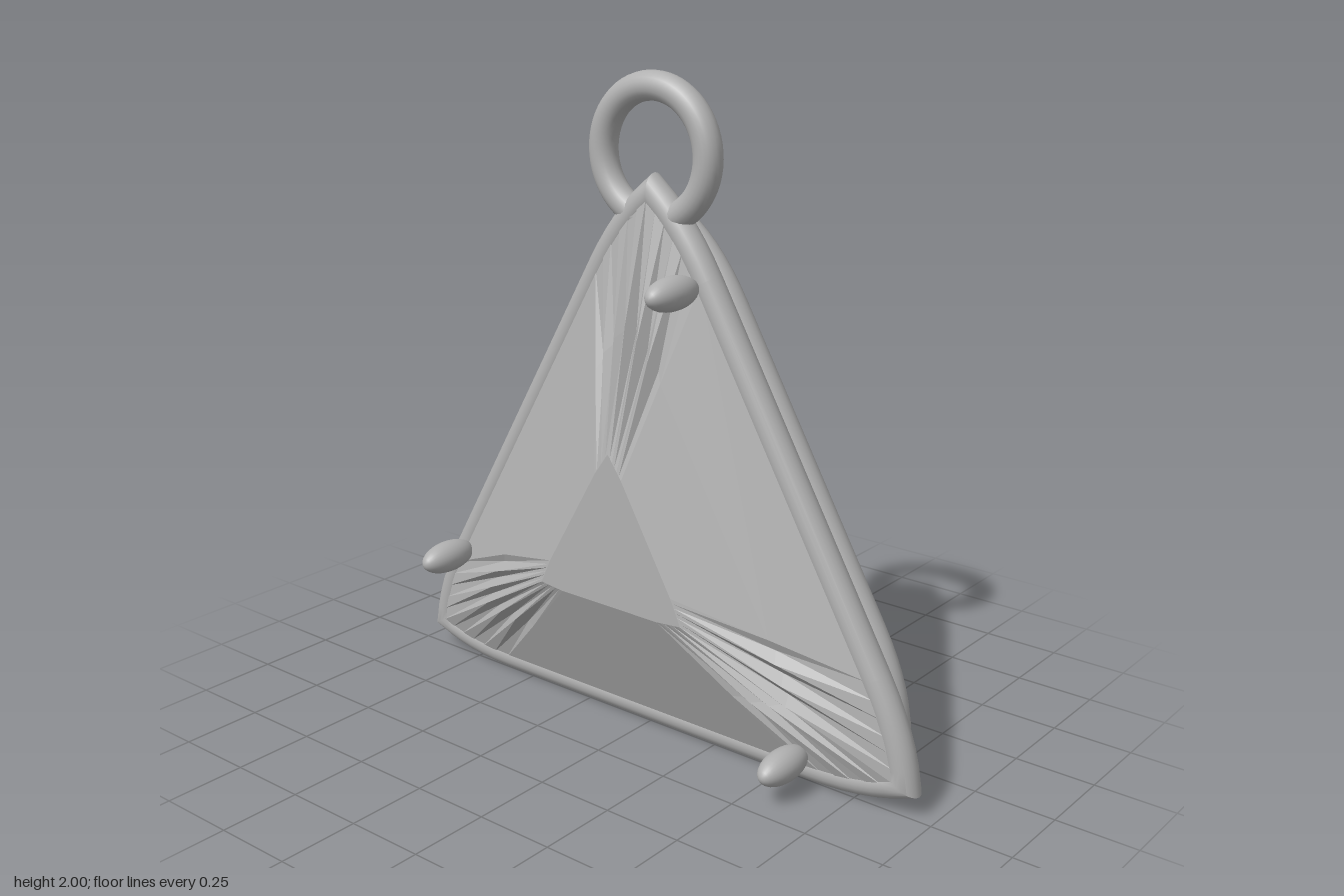
import * as THREE from 'three';
import { toCreasedNormals } from 'three/addons/utils/BufferGeometryUtils.js';

const STEPS = 6; // samples on each half of a corner
const CENTRE_Y = 0.615;
const V2 = (x, y) => new THREE.Vector2(x, y);

// Repeats points of the top corner at all three corners, counterclockwise
function threefold(points) {
  const out = [];
  for (let k = 0; k < 3; k++) {
    for (const p of points) out.push(p.clone().rotateAround(V2(0, 0), (k * 2 * Math.PI) / 3));
  }
  return out;
}

// Triangle with gently bowed sides near each pointed corner
function cornerPoints() {
  const right = new THREE.QuadraticBezierCurve(V2(0.194, 0.805), V2(0.104, 0.96), V2(0, 1.04)).getPoints(STEPS);
  const left = right.slice(0, -1).reverse().map((p) => V2(-p.x, p.y));
  return [...right, ...left];
}

// Skins a closed loop of cross-sections, each a list of [x, y, z]
function loft(sections) {
  const n = sections.length, m = sections[0].length, index = [];
  for (let i = 0; i < n; i++) {
    for (let j = 0; j < m - 1; j++) {
      const a = i * m + j, b = ((i + 1) % n) * m + j;
      index.push(a, b, a + 1, b, b + 1, a + 1);
    }
  }
  const g = new THREE.BufferGeometry();
  g.setAttribute('position', new THREE.Float32BufferAttribute(sections.flat(2), 3));
  g.setIndex(index);
  return g;
}

// Round wire swept along the outline with mitred corners
function wireFrame(scale, radius) {
  const pts = threefold(cornerPoints()).map((p) => p.multiplyScalar(scale));
  const n = pts.length, sides = 20;
  const sections = pts.map((p, i) => {
    const t1 = p.clone().sub(pts[(i + n - 1) % n]).normalize();
    const t2 = pts[(i + 1) % n].clone().sub(p).normalize();
    const t = t1.clone().add(t2).normalize();
    const reach = radius / t.dot(t1);
    const ring = [];
    for (let j = 0; j <= sides; j++) {
      const a = (j / sides) * Math.PI * 2;
      const c = Math.cos(a) * reach;
      ring.push([p.x + t.y * c, p.y - t.x * c, Math.sin(a) * radius]);
    }
    return ring;
  });
  const g = toCreasedNormals(loft(sections), 0.7);
  return g;
}

// Faceted stone: pyramid back, girdle, pleated crown corners and flat table
function gemGeometry() {
  const corner = cornerPoints();
  const last = corner.length - 1;
  const table = corner.map((_, i) => {
    const s = 1 - (2 * i) / last;
    return V2(0.05 * s, 0.24 + 0.07 * (1 - Math.abs(s)));
  });
  const outer = threefold(corner), inner = threefold(table);
  const sections = outer.map((o, i) => {
    const k = i % corner.length;
    const end = k === 0 || k === last;
    const pleat = end ? 0 : k % 2 ? -0.016 : 0.01;
    const mid = o.clone().lerp(inner[i], 0.5);
    return [
      [0, 0, -0.2],
      [o.x * 0.5, o.y * 0.5, -0.13],
      [o.x, o.y, -0.045],
      [o.x, o.y, 0.02],
      [mid.x, mid.y, 0.108 + pleat],
      [inner[i].x, inner[i].y, 0.198],
      [0, 0, 0.198],
    ];
  });
  const g = loft(sections).toNonIndexed();
  g.computeVertexNormals();
  return g;
}

export function createModel() {
  const model = new THREE.Group();
  const grey = new THREE.MeshStandardMaterial({ color: 0xb0b0b0 });
  grey.name = 'silver grey';

  const add = (name, geometry, x, y, z) => {
    const mesh = new THREE.Mesh(geometry, grey);
    mesh.name = name;
    mesh.position.set(x, y, z);
    model.add(mesh);
    return mesh;
  };

  add('gem', gemGeometry(), 0, CENTRE_Y, 0);
  add('frontFrame', wireFrame(1, 0.045), 0, CENTRE_Y, -0.017);
  add('backFrame', wireFrame(0.85, 0.045), 0, 0.635, -0.177);
  add('hangingRing', new THREE.TorusGeometry(0.19, 0.043, 20, 64), 0, 1.767, -0.017);

  // Oval claws holding the stone
  const claw = new THREE.SphereGeometry(1, 24, 16);
  claw.rotateX(Math.PI / 2);
  for (const [x, y] of [[-0.76, 0.395], [0.173, 1.41], [0.583, 0.095]]) {
    add('claw', claw, x, y, 0.12).scale.set(0.05, 0.05, 0.105);
  }
  return model;
}
